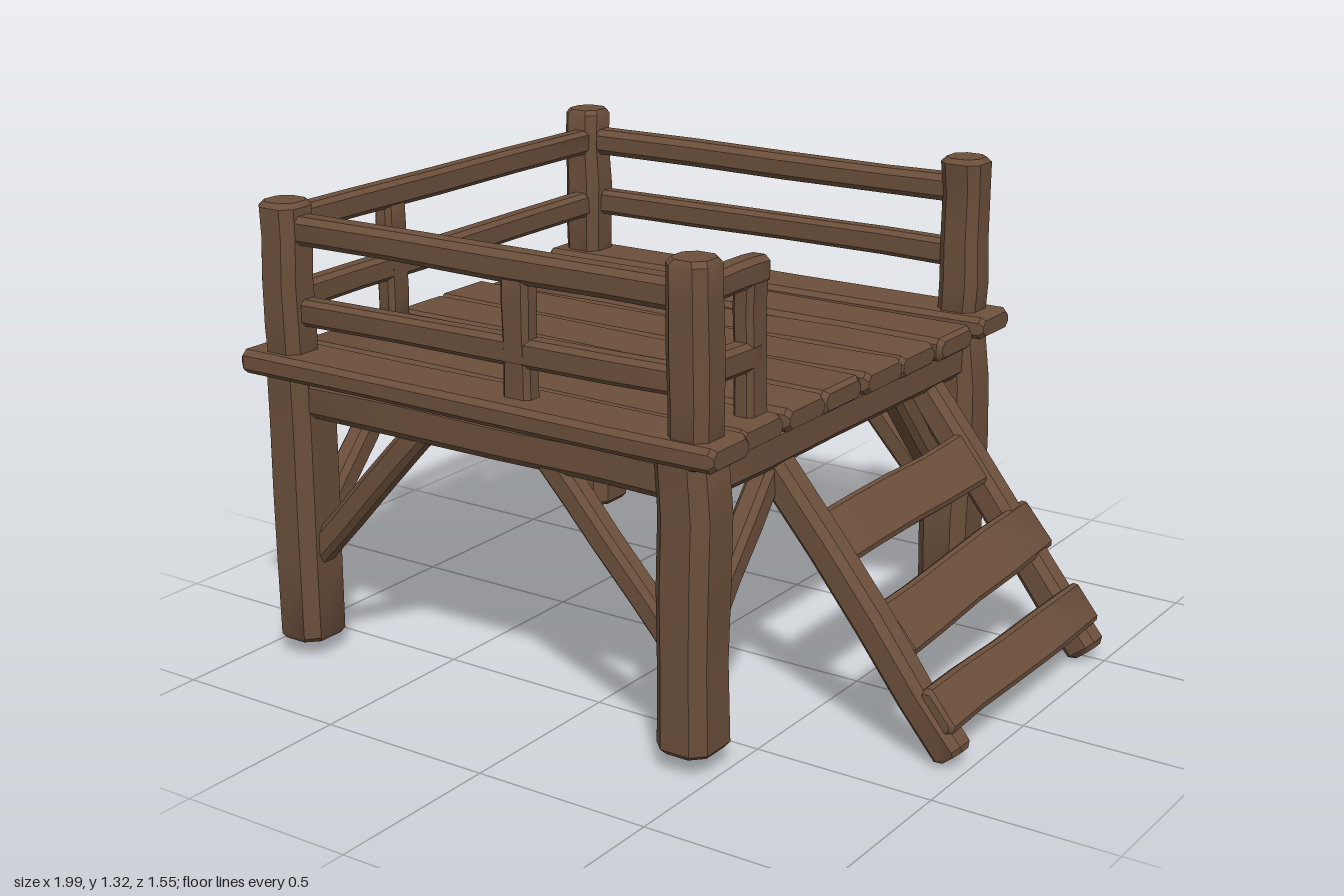
import * as THREE from 'three';
import { toCreasedNormals } from 'three/addons/utils/BufferGeometryUtils.js';

const V = (x, y, z) => new THREE.Vector3(x, y, z);

// small seeded generator for the hand-cut unevenness, range -1..1
let seed = 7;
function rnd() {
  seed = (seed * 16807) % 2147483647;
  return (seed / 2147483647) * 2 - 1;
}

// Rough-hewn timber from a to b: chamfered rectangular sections, slightly uneven.
// w is the width across, d the depth along ref (default up, or z for upright timbers).
function timberGeometry(a, b, w, d, ref, bevel = 0.22) {
  const dir = b.clone().sub(a);
  const len = dir.length();
  dir.normalize();
  const up = ref || (Math.abs(dir.y) > 0.95 ? V(0, 0, 1) : V(0, 1, 0));
  const side = dir.clone().cross(up).normalize();
  const n = dir.clone().cross(side);
  const c = Math.min(w, d) * bevel;
  const hw = w / 2, hd = d / 2;
  const ring = [
    [hw, -hd + c], [hw, hd - c], [hw - c, hd], [-hw + c, hd],
    [-hw, hd - c], [-hw, -hd + c], [-hw + c, -hd], [hw - c, -hd],
  ];
  const e = Math.min(0.014, c);
  const stops = [0, e, len * 0.3, len * 0.55, len * 0.8, len - e, len];
  const pos = [], idx = [];
  const amp = Math.min(w, d) * 0.045;
  let su = 0, sv = 0, k = 1;
  stops.forEach((s, i) => {
    const cap = i === 0 || i === stops.length - 1;
    if (i !== 1 && i !== stops.length - 1) {
      su = rnd() * amp; sv = rnd() * amp; k = 1 + rnd() * 0.035;
    }
    for (const [u, v] of ring) {
      const pu = cap ? u - Math.sign(u) * e * 0.7 : u * k;
      const pv = cap ? v - Math.sign(v) * e * 0.7 : v * k;
      const p = a.clone().addScaledVector(dir, s)
        .addScaledVector(side, pu + su).addScaledVector(n, pv + sv);
      pos.push(p.x, p.y, p.z);
    }
  });
  const m = ring.length, last = (stops.length - 1) * m;
  for (let i = 0; i < stops.length - 1; i++) {
    for (let j = 0; j < m; j++) {
      const p = i * m + j, q = i * m + (j + 1) % m;
      idx.push(p, q, q + m, p, q + m, p + m);
    }
  }
  for (let j = 1; j < m - 1; j++) {
    idx.push(0, j + 1, j, last, last + j, last + j + 1);
  }
  const g = new THREE.BufferGeometry();
  g.setAttribute('position', new THREE.Float32BufferAttribute(pos, 3));
  g.setIndex(idx);
  return toCreasedNormals(g, 0.6);
}

export function createModel() {
  seed = 7;
  const model = new THREE.Group();
  model.name = 'woodenPlatform';
  const wood = new THREE.MeshStandardMaterial({ color: 0x6b4f3b });
  wood.name = 'brown wood';

  const add = (name, a, b, w, d, ref, bevel) => {
    const mesh = new THREE.Mesh(timberGeometry(a, b, w, d, ref, bevel), wood);
    mesh.name = name;
    model.add(mesh);
  };

  // legs below the deck and posts above it: [leg x, leg z, post x, post z, foot y, post top]
  const corners = [
    [-0.87, 0.66, -0.87, 0.685, 0.06, 1.3],
    [0.415, 0.66, 0.44, 0.69, 0.06, 1.33],
    [-0.87, -0.68, -0.9, -0.695, 0.06, 1.33],
    [0.415, -0.68, 0.42, -0.695, 0.05, 1.33],
  ];
  for (const [lx, lz, px, pz, foot, top] of corners) {
    add('leg', V(lx, foot, lz), V(lx, 0.84, lz), 0.15, 0.165);
    add('cornerPost', V(px, 0.82, pz), V(px, top, pz), 0.12, 0.12);
  }

  // beams under the deck
  for (const z of [0.66, -0.68]) add('longBeam', V(-0.87, 0.77, z), V(0.415, 0.77, z), 0.1, 0.115);
  for (const x of [-0.87, 0.415]) add('crossBeam', V(x, 0.77, -0.68), V(x, 0.77, 0.66), 0.1, 0.115);

  // diagonal braces, two at each leg
  for (const [lx, lz] of corners) {
    const sx = lx < 0 ? 1 : -1, sz = lz < 0 ? 1 : -1;
    add('brace', V(lx + sx * 0.03, 0.3, lz), V(lx + sx * 0.45, 0.76, lz), 0.07, 0.075);
    add('brace', V(lx, 0.34, lz + sz * 0.03), V(lx, 0.78, lz + sz * 0.4), 0.07, 0.075);
  }

  // deck planks: [z centre, width, x start, x end, y centre]
  const planks = [
    [0.685, 0.17, -0.98, 0.54, 0.86],
    [0.485, 0.19, -0.94, 0.5, 0.85],
    [0.295, 0.185, -0.94, 0.51, 0.852],
    [0.1, 0.19, -0.93, 0.5, 0.85],
    [-0.1, 0.195, -0.94, 0.51, 0.848],
    [-0.3, 0.19, -0.93, 0.5, 0.84],
    [-0.5, 0.19, -0.94, 0.51, 0.847],
    [-0.69, 0.17, -1.0, 0.53, 0.858],
  ];
  for (const [z, w, x0, x1, y] of planks) {
    add('deckPlank', V(x0, y, z), V(x1, y, z), w, 0.065);
  }

  // railings: top and middle rails on the front, back and left sides
  add('frontTopRail', V(-0.87, 1.225, 0.68), V(0.44, 1.235, 0.68), 0.075, 0.08);
  add('frontMiddleRail', V(-0.87, 1.005, 0.68), V(0.44, 1.02, 0.68), 0.06, 0.075);
  add('backTopRail', V(-0.9, 1.235, -0.7), V(0.42, 1.235, -0.7), 0.075, 0.075);
  add('backMiddleRail', V(-0.9, 1.045, -0.7), V(0.42, 1.05, -0.7), 0.06, 0.075);
  add('leftTopRail', V(-0.89, 1.235, -0.69), V(-0.88, 1.24, 0.68), 0.06, 0.075);
  add('leftMiddleRail', V(-0.89, 1.04, -0.69), V(-0.88, 1.03, 0.68), 0.06, 0.075);

  // short railing beside the ladder opening
  add('shortTopRail', V(0.43, 1.24, 0.69), V(0.43, 1.24, 0.385), 0.065, 0.075);
  add('shortMiddleRail', V(0.43, 1.035, 0.69), V(0.43, 1.035, 0.42), 0.06, 0.075);

  // balusters
  add('frontBaluster', V(-0.095, 0.86, 0.68), V(-0.095, 1.22, 0.68), 0.085, 0.06);
  add('leftBaluster', V(-0.885, 0.86, 0.255), V(-0.885, 1.22, 0.255), 0.06, 0.085);
  add('shortBaluster', V(0.43, 0.86, 0.44), V(0.43, 1.23, 0.44), 0.06, 0.085);

  // ladder: two sloping stringers and three treads lying on the slope
  const normal = V(0.62, 0.5, 0).normalize();
  for (const z of [0.3, -0.485]) {
    add('ladderStringer', V(0.41, 0.715, z), V(0.957, 0.036, z), 0.09, 0.095);
  }
  const treads = [
    // [x, y, z start, z end, y tilt]
    [0.58, 0.53, -0.46, 0.28, 0],
    [0.745, 0.325, -0.555, 0.255, -0.02],
    [0.915, 0.155, -0.53, 0.335, 0],
  ];
  treads.forEach(([x, y, z0, z1, tilt], i) => {
    add('ladderTread', V(x, y - tilt, z0), V(x, y + tilt, z1), i === 2 ? 0.125 : 0.155, 0.05, normal);
  });

  return model;
}
